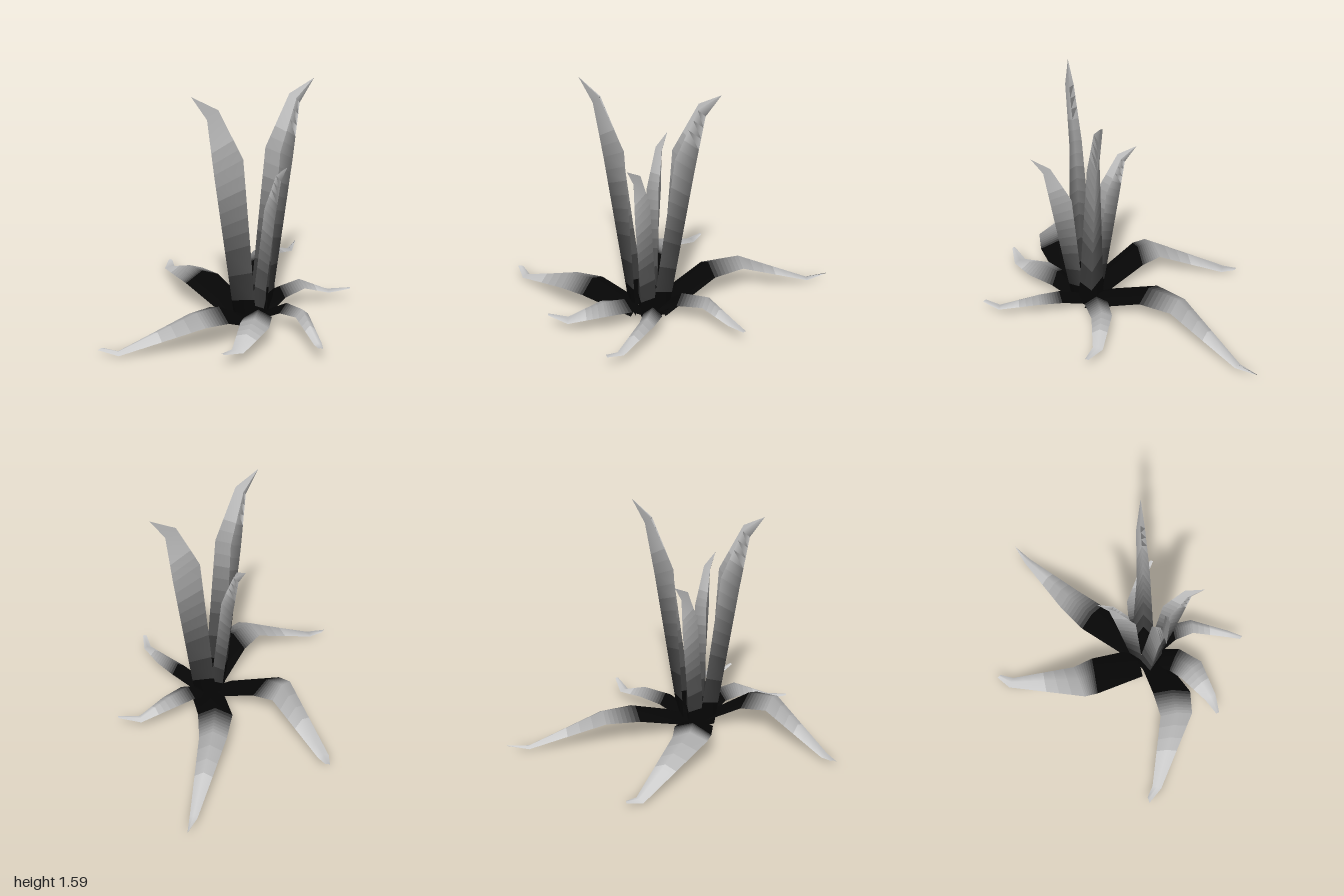
import * as THREE from 'three';

const CX = 0.075, CZ = 0.185; // heart of the plant
const STEPS = 14;             // greys between the dark heart and the pale tips

const greys = Array.from({ length: STEPS + 1 }, (_, i) => new THREE.MeshStandardMaterial({
  color: new THREE.Color(0xcccccc).multiplyScalar(Math.max(0.003, i / STEPS)),
  side: THREE.DoubleSide,
}));

// Triangles joining rows of three points: [edge, keel, edge]
function strip(points, normals) {
  const index = [];
  for (let a = 0; a + 5 < points.length / 3; a += 3) {
    for (const c of [a, a + 1]) index.push(c, c + 1, c + 4, c, c + 4, c + 3);
  }
  const geometry = new THREE.BufferGeometry();
  geometry.setAttribute('position', new THREE.Float32BufferAttribute(points, 3));
  geometry.setIndex(index);
  if (normals) geometry.setAttribute('normal', new THREE.Float32BufferAttribute(normals, 3));
  else geometry.computeVertexNormals();
  return geometry;
}

// A folded blade, cut across into bands that grow paler from row to row
function blade(name, rows, tones) {
  const leaf = new THREE.Group();
  leaf.name = name;
  const points = rows.flat(2);
  const normals = Array.from(strip(points).attributes.normal.array);
  for (let r = 0; r < rows.length - 1; r++) {
    const between = (list, t) => list.slice(r * 9, r * 9 + 9)
      .map((v, i) => THREE.MathUtils.lerp(v, list[r * 9 + 9 + i], t));
    const bands = Math.max(1, Math.round((tones[r + 1] - tones[r]) * STEPS));
    for (let b = 0; b < bands; b++) {
      const t0 = b / bands, t1 = (b + 1) / bands;
      const tone = THREE.MathUtils.lerp(tones[r], tones[r + 1], (t0 + t1) / 2);
      const mesh = new THREE.Mesh(
        strip([...between(points, t0), ...between(points, t1)],
          [...between(normals, t0), ...between(normals, t1)]),
        greys[Math.round(tone * STEPS)],
      );
      mesh.name = 'leafBand';
      leaf.add(mesh);
    }
  }
  return leaf;
}

// Upright blade, relative to the heart, leaning towards +x with its keel outward
const UPRIGHT = [
  [[0.035, 0.02, -0.11], [0.14, 0.02, -0.01], [0.06, 0.02, 0.065]],
  [[0.08, 0.60, -0.095], [0.22, 0.55, -0.02], [0.125, 0.59, 0.035]],
  [[0.125, 1.17, -0.08], [0.30, 1.08, -0.03], [0.185, 1.15, 0.005]],
  [[0.295, 1.50, -0.08], [0.355, 1.44, -0.05], [0.315, 1.48, -0.025]],
  [[0.455, 1.59, -0.045], [0.455, 1.59, -0.045], [0.455, 1.59, -0.045]],
];
const UPRIGHT_TONES = [0, 0.2, 0.65, 1, 1];

// Arching blade: outline rows [x, z, x, z] with shared heights of edge and raised keel
const ARCH_TONES = [0, 0.03, 0.6, 1, 1];
const LONG = { edge: [0.03, 0.195, 0.205, 0.02, 0.045], keel: [0.07, 0.255, 0.26, 0.035, 0.05] };
const SHORT = { edge: [0.005, 0.135, 0.155, 0.085, 0.115], keel: [0.05, 0.19, 0.2, 0.095, 0.12] };

function arching(name, { edge, keel }, outline) {
  return blade(name, outline.map(([x1, z1, x2, z2], i) => [
    [x1, edge[i], z1],
    [(x1 + x2) / 2, keel[i], (z1 + z2) / 2],
    [x2, edge[i], z2],
  ]), ARCH_TONES);
}

export function createModel() {
  const plant = new THREE.Group();
  plant.name = 'plant';

  // Four upright blades, alternately tall and short
  for (let i = 0; i < 4; i++) {
    const leaf = blade(i % 2 ? 'shortUprightLeaf' : 'tallUprightLeaf', UPRIGHT, UPRIGHT_TONES);
    leaf.position.set(CX, 0, CZ);
    leaf.rotation.y = i * Math.PI / 2;
    leaf.scale.setScalar(i % 2 ? 0.735 : 1);
    plant.add(leaf);
  }

  // Three long arching leaves
  plant.add(
    arching('backLongLeaf', LONG, [
      [-0.08, 0.15, 0.13, 0.11], [-0.24, -0.18, 0.02, -0.21], [-0.26, -0.27, -0.04, -0.34],
      [-0.11, -0.82, -0.04, -0.79], [-0.04, -0.90, -0.02, -0.88],
    ]),
    arching('leftLongLeaf', LONG, [
      [0.04, 0.09, 0.22, 0.22], [0.25, -0.27, 0.42, -0.12], [0.42, -0.42, 0.55, -0.30],
      [0.87, -0.69, 0.90, -0.65], [1.0, -0.76, 1.0, -0.76],
    ]),
    arching('rightLongLeaf', LONG, [
      [0.02, 0.33, 0.02, 0.14], [-0.26, 0.47, -0.26, 0.21], [-0.42, 0.47, -0.43, 0.25],
      [-0.90, 0.23, -0.88, 0.17], [-1.0, 0.14, -0.96, 0.13],
    ]),
  );

  // Three short arching leaves
  plant.add(
    arching('leftShortLeaf', SHORT, [
      [0.09, 0.12, 0.09, 0.25], [0.30, 0.07, 0.30, 0.225], [0.46, 0.065, 0.47, 0.20],
      [0.69, 0.155, 0.66, 0.215], [0.80, 0.26, 0.79, 0.28],
    ]),
    arching('rightShortLeaf', SHORT, [
      [0.02, 0.18, 0.13, 0.25], [-0.08, 0.34, 0.08, 0.42], [-0.15, 0.42, -0.03, 0.57],
      [-0.30, 0.585, -0.26, 0.66], [-0.41, 0.65, -0.40, 0.67],
    ]),
    arching('frontShortLeaf', SHORT, [
      [0.03, 0.20, 0.15, 0.18], [0.15, 0.40, 0.27, 0.37], [0.19, 0.53, 0.29, 0.52],
      [0.17, 0.78, 0.22, 0.79], [0.14, 0.87, 0.16, 0.89],
    ]),
  );

  return plant;
}
